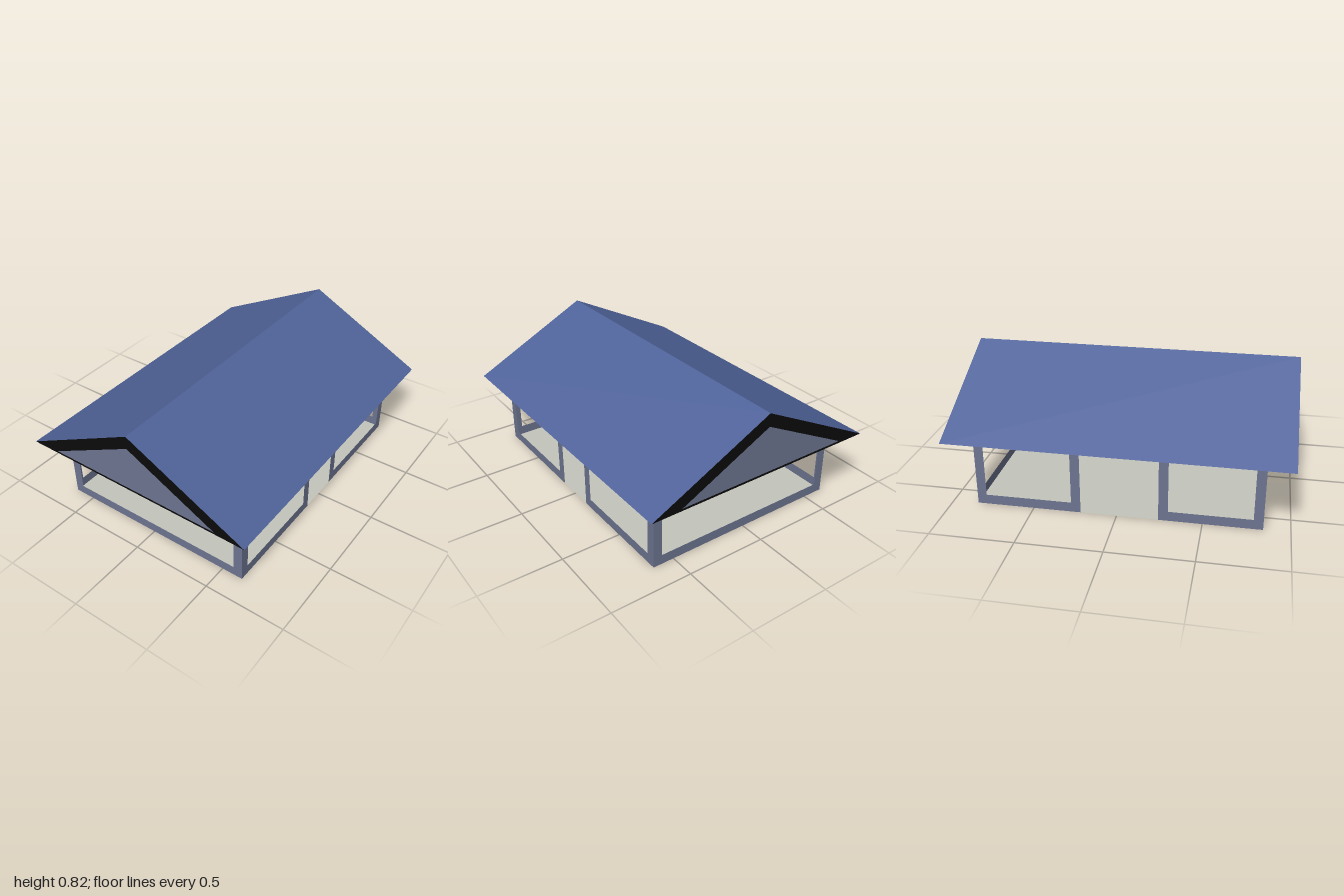
import * as THREE from 'three';

const mat = (name, color, side = THREE.FrontSide) => {
  const m = new THREE.MeshStandardMaterial({ color, side });
  m.name = name;
  return m;
};

const W = 0.632, D = 0.845, H = 0.44;   // half width, half depth and height of the walls
const POST = 0.056, RAIL = 0.06;        // frame member widths

export function createModel() {
  const roofBlue = mat('roofBlue', 0x50639a);
  const trimBlack = mat('trimBlack', 0x0b0b0b);
  const wallGrey = mat('wallGrey', 0x6c7490, THREE.DoubleSide);
  const floorGrey = mat('floorGrey', 0xc4c5bb, THREE.DoubleSide);

  const group = new THREE.Group();
  group.name = 'pavilion';
  const add = (name, geometry, material) => {
    const mesh = new THREE.Mesh(geometry, material);
    mesh.name = name;
    group.add(mesh);
    return mesh;
  };
  const polygon = (pts, Type = THREE.Shape) =>
    new Type(pts.map(([x, y]) => new THREE.Vector2(x, y)));
  const rect = (a, b, y0, y1) => [[a, y0], [b, y0], [b, y1], [a, y1]];

  // Thin wall frame with one large opening, spanning a..b
  const frame = (a, b) => {
    const shape = polygon(rect(a, b, 0, H));
    shape.holes.push(polygon(rect(a + POST, b - POST, RAIL, H - RAIL).reverse(), THREE.Path));
    return new THREE.ShapeGeometry(shape);
  };

  // Floor
  add('floor', new THREE.PlaneGeometry(2 * W, 2 * D).rotateX(-Math.PI / 2), floorGrey);

  // Front and back frames
  add('frontFrame', frame(-W, W).translate(0, 0, D), wallGrey);
  add('backFrame', frame(-W, W).rotateY(Math.PI).translate(0, 0, -D), wallGrey);

  // Side frames, with a doorway gap between each pair (z from, z to)
  const sides = [
    ['left', W, [-D, -0.13], [0.135, D]],
    ['right', -W, [-D, -0.215], [0.245, D]],
  ];
  for (const [side, x, back, front] of sides) {
    for (const [end, [z0, z1]] of [['Back', back], ['Front', front]]) {
      // local x runs towards -z after the turn
      add(side + end + 'Frame', frame(-z1, -z0).rotateY(Math.PI / 2).translate(x, 0, 0), wallGrey);
    }
  }

  // Gabled roof with black ends
  const roof = new THREE.ExtrudeGeometry(
    polygon([[-0.75, H], [0.75, H], [0, 0.82]]),
    { depth: 1.996, bevelEnabled: false }
  ).translate(0, 0, -0.998);
  add('roof', roof, [trimBlack, roofBlue]);

  // Gable panels lying on the roof ends
  const gable = () => new THREE.ShapeGeometry(polygon([[-0.563, 0.455], [0.563, 0.455], [0, 0.74]]));
  add('frontGable', gable().translate(0, 0, 1), wallGrey);
  add('backGable', gable().rotateY(Math.PI).translate(0, 0, -1), wallGrey);

  return group;
}
